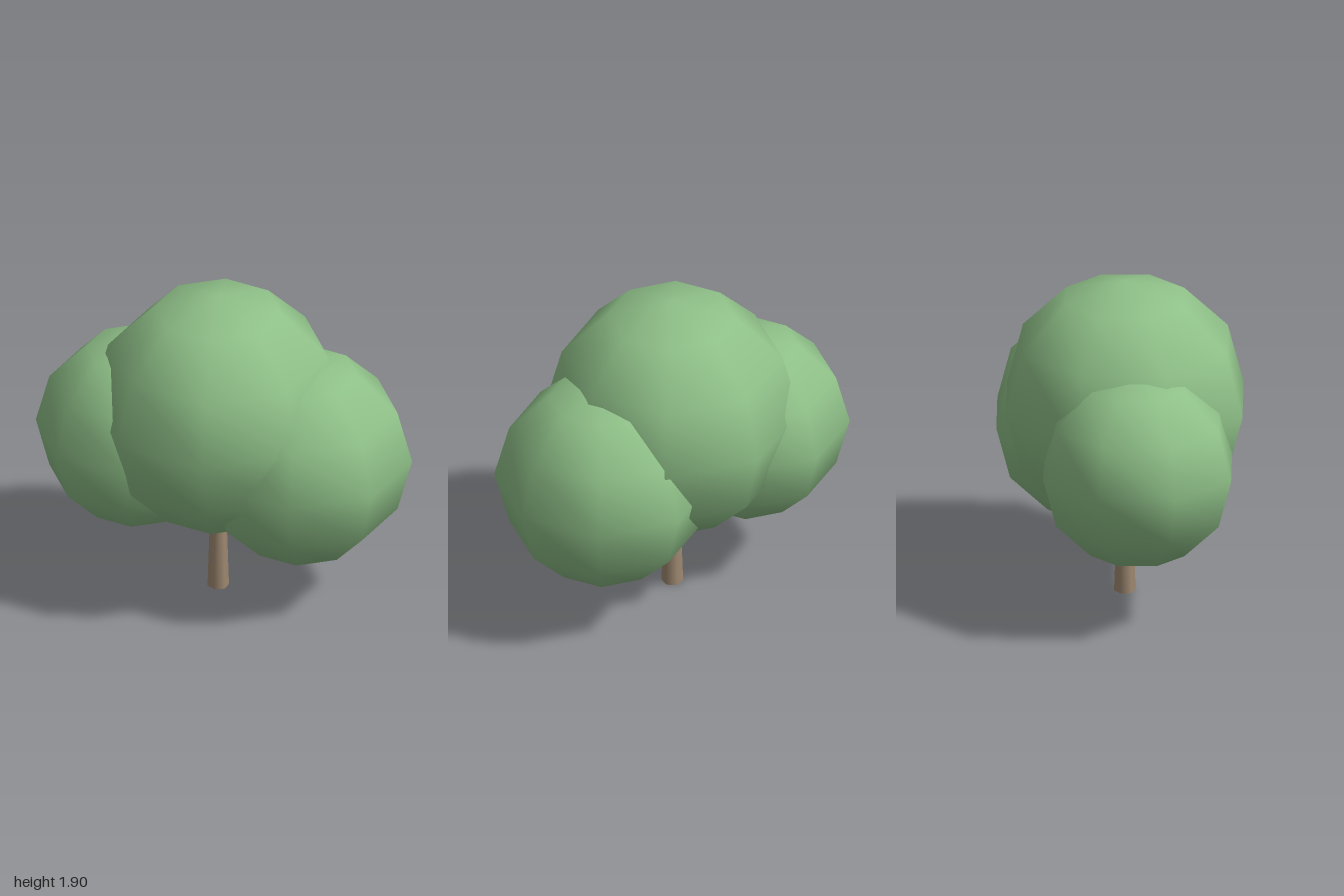
import * as THREE from 'three';

export function createModel() {
  const tree = new THREE.Group();
  tree.name = 'tree';

  const leafMaterial = new THREE.MeshStandardMaterial({ color: 0x8fc088 });
  const barkMaterial = new THREE.MeshStandardMaterial({ color: 0xa08a72, side: THREE.DoubleSide });

  // Leaf clumps: coarse, smooth-shaded spheres that overlap
  const addClump = (name, radius, x, y, z) => {
    const clump = new THREE.Mesh(new THREE.SphereGeometry(radius, 8, 6), leafMaterial);
    clump.name = name;
    clump.position.set(x, y, z);
    tree.add(clump);
  };
  addClump('mainFoliage', 0.73, 0, 1.17, 0.05);
  addClump('rightFoliage', 0.58, -0.42, 0.95, 0.31);
  addClump('leftFoliage', 0.63, 0.37, 0.9, -0.27);

  // Trunk: tapered six-sided tube, open below, its top hidden in the foliage
  const height = 0.6;
  const trunkGeometry = new THREE.CylinderGeometry(0.043, 0.062, height, 6, 1, true);
  trunkGeometry.rotateY(Math.PI / 6);
  const trunk = new THREE.Mesh(trunkGeometry, barkMaterial);
  trunk.name = 'trunk';
  trunk.position.set(0, height / 2, 0.05);
  tree.add(trunk);

  return tree;
}
